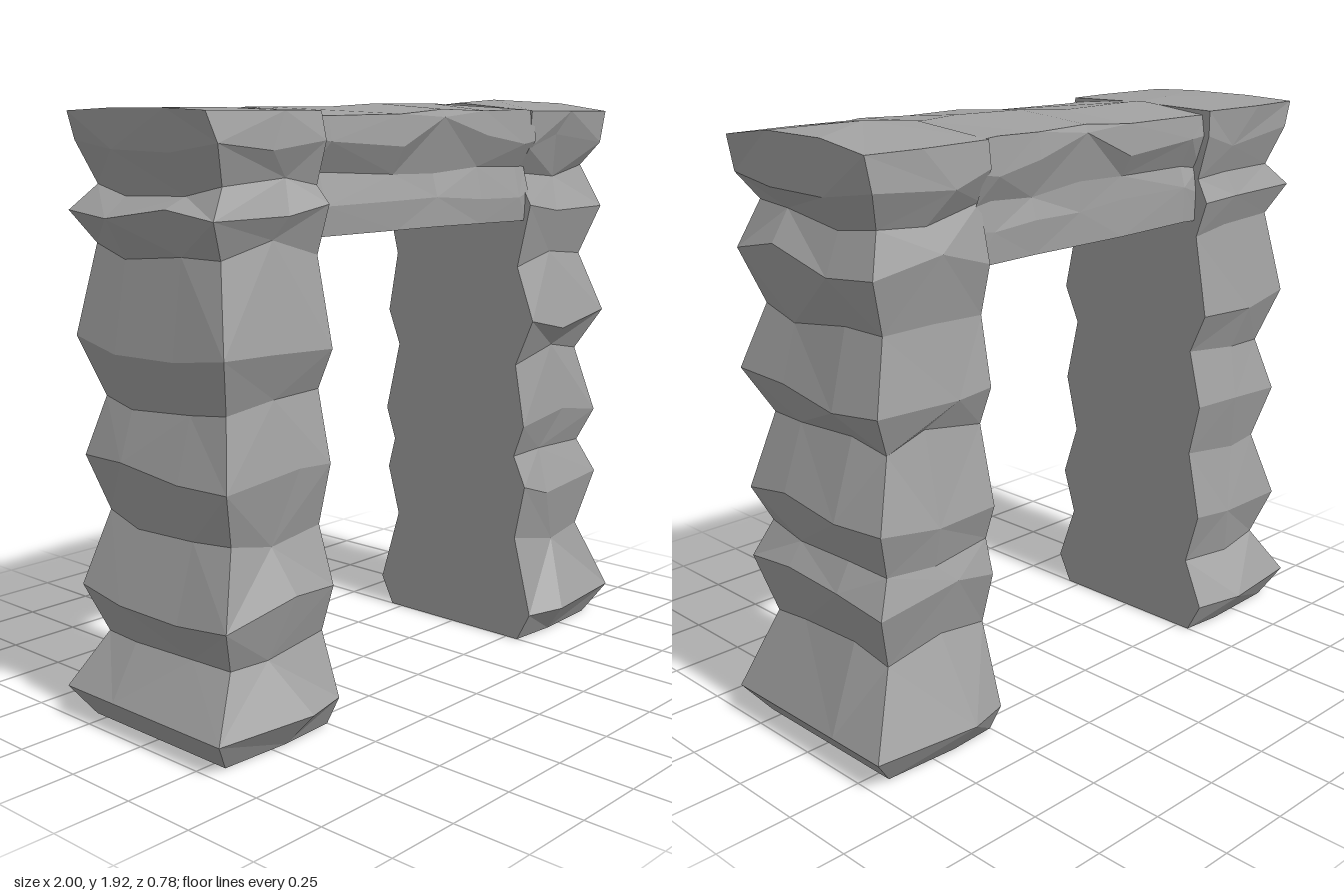
import * as THREE from 'three';

// Small seeded generator for the chiselled irregularity
function seeded(seed) {
  let s = seed;
  return () => {
    s = (s * 16807) % 2147483647;
    return s / 2147483647;
  };
}

// Skin a list of rings (counter-clockwise seen from the end), optionally closing the end with a fan
function loft(rings, capPoint) {
  const pos = [];
  const tri = (a, b, c) => pos.push(...a, ...b, ...c);
  const n = rings[0].length;
  for (let i = 0; i < rings.length - 1; i++) {
    for (let j = 0; j < n; j++) {
      const k = (j + 1) % n;
      const a = rings[i][j], b = rings[i][k], c = rings[i + 1][k], d = rings[i + 1][j];
      if ((i + j) % 2) { tri(a, b, c); tri(a, c, d); }
      else { tri(a, b, d); tri(b, c, d); }
    }
  }
  if (capPoint) {
    const last = rings[rings.length - 1];
    last.forEach((p, j) => tri(p, last[(j + 1) % n], capPoint));
  }
  const g = new THREE.BufferGeometry();
  g.setAttribute('position', new THREE.Float32BufferAttribute(pos, 3));
  g.computeVertexNormals();
  return g;
}

// Rows of each pillar: height, outer x, front z, back z
const rightRows = [
  [0.00, 0.92, 0.31, 0.31], [0.10, 1.00, 0.39, 0.39], [0.36, 0.90, 0.29, 0.28],
  [0.54, 0.96, 0.33, 0.33], [0.66, 0.91, 0.28, 0.30], [0.80, 0.96, 0.32, 0.34],
  [1.02, 0.88, 0.28, 0.28], [1.16, 0.95, 0.35, 0.33], [1.36, 0.89, 0.28, 0.29],
  [1.55, 0.95, 0.33, 0.33], [1.68, 0.90, 0.27, 0.29], [1.78, 0.95, 0.32, 0.34],
  [1.88, 0.95, 0.33, 0.33],
];
const leftRows = [
  [0.00, 0.93, 0.31, 0.31], [0.10, 1.00, 0.39, 0.39], [0.28, 0.90, 0.29, 0.29],
  [0.43, 0.96, 0.34, 0.34], [0.65, 0.88, 0.28, 0.29], [0.83, 0.94, 0.33, 0.33],
  [1.03, 0.89, 0.28, 0.28], [1.20, 0.95, 0.34, 0.34], [1.48, 0.90, 0.28, 0.29],
  [1.59, 0.97, 0.33, 0.33], [1.66, 0.89, 0.28, 0.29], [1.78, 0.94, 0.32, 0.33],
  [1.88, 0.95, 0.30, 0.33],
];

// Rough pillar with a flat inner face and an open foot
function pillarGeometry(side, rows, seed, crown) {
  const rnd = seeded(seed);
  const top = rows.length - 1;
  const rings = rows.map(([y, x, zf, zb], i) => {
    const rough = i > 1 && i < top ? 1 : 0;
    const dy = (amount) => y + (rnd() - 0.5) * amount * rough;
    const inset = i === 1 ? 0.04 : 0.012;
    const cx = x - 0.015 * rough;
    const ring = [
      [0.5, dy(0.06), zf - inset],
      [0.62 + rnd() * 0.14, dy(0.08), zf - rnd() * 0.02 * rough],
      [cx, dy(0.03), zf - inset],
      [x - rnd() * 0.015 * rough, dy(0.07), 0.12],
      [x, dy(0.07), -0.13],
      [cx, dy(0.03), -zb + inset],
      [0.62 + rnd() * 0.14, dy(0.08), -zb + rnd() * 0.02 * rough],
      [0.5, dy(0.06), -zb + inset],
      [0.5, y, 0],
    ];
    // Crown the top edge gently towards the middle
    if (i === top) [3, 4, 8].forEach((k) => { ring[k][1] += (crown - y) * 0.7; });
    ring.forEach((p) => { p[0] *= side; });
    return side > 0 ? ring : ring.reverse();
  });
  return loft(rings, [side * 0.68, crown, 0.02]);
}

// Lintel sections: x, top height, front z, back z, height of the upper ridge
const lintelRows = [
  [-0.52, 1.870, 0.29, 0.30, 1.80], [-0.45, 1.870, 0.28, 0.29, 1.79],
  [-0.12, 1.875, 0.28, 0.31, 1.77], [0.08, 1.890, 0.28, 0.31, 1.86],
  [0.28, 1.885, 0.30, 0.31, 1.80], [0.46, 1.890, 0.32, 0.32, 1.77],
  [0.52, 1.885, 0.32, 0.32, 1.78],
];

function lintelGeometry() {
  const rnd = seeded(73);
  const rings = lintelRows.map(([x, y, zf, zb, ridge]) => [
    [x, 1.51, zf - 0.03],
    [x, 1.51, -zb + 0.03],
    [x, 1.60 + rnd() * 0.03, -zb + 0.015 + rnd() * 0.02],
    [x, 1.68 + rnd() * 0.03, -zb + 0.03 + rnd() * 0.02],
    [x, ridge, -zb],
    [x, y - 0.005, -zb + 0.01],
    [x + (rnd() - 0.5) * 0.06, y + 0.01 + rnd() * 0.012, -0.08 + rnd() * 0.12],
    [x, y - 0.005, zf - 0.01],
    [x, ridge, zf],
    [x, 1.68 + rnd() * 0.02, zf - 0.04 - rnd() * 0.015],
    [x, 1.59 + rnd() * 0.02, zf - 0.02 - rnd() * 0.01],
  ]);
  return loft(rings);
}

export function createModel() {
  const stone = new THREE.MeshStandardMaterial({ color: 0xa0a0a0 });
  stone.name = 'grey stone';
  stone.flatShading = true;
  stone.side = THREE.DoubleSide;

  const group = new THREE.Group();
  group.name = 'stoneArch';
  const add = (name, geometry) => {
    const mesh = new THREE.Mesh(geometry, stone);
    mesh.name = name;
    group.add(mesh);
  };
  add('leftPillar', pillarGeometry(1, rightRows, 41, 1.92));
  add('rightPillar', pillarGeometry(-1, leftRows, 977, 1.89));
  add('lintel', lintelGeometry());
  return group;
}
